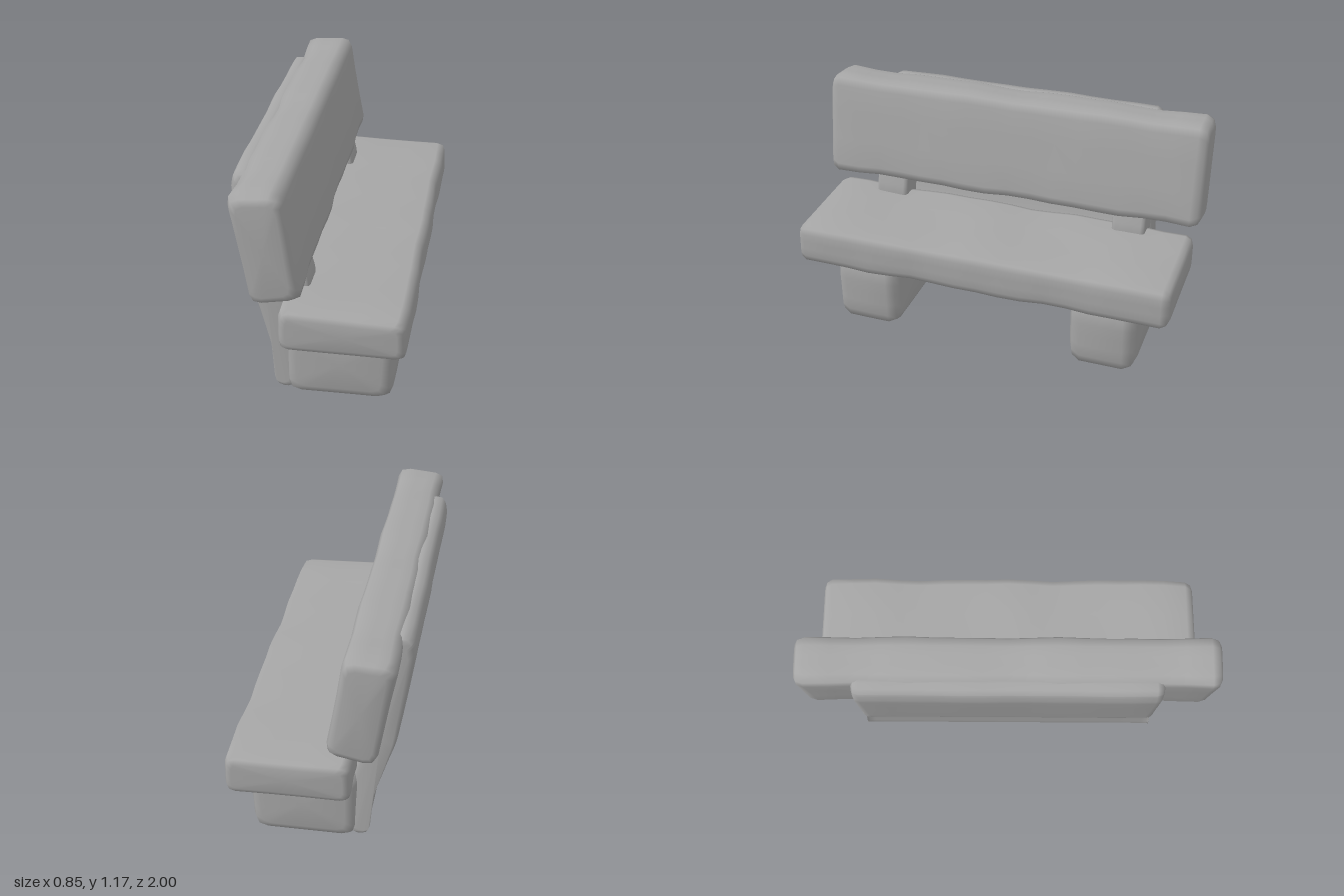
import * as THREE from 'three';

// Rounds the corners of a counter-clockwise profile and subdivides its edges
function roundProfile(points, r) {
  const pts = points.map(([x, y]) => new THREE.Vector2(x, y));
  const n = pts.length, out = [];
  for (let i = 0; i < n; i++) {
    const p = pts[i], a = pts[(i + n - 1) % n], b = pts[(i + 1) % n];
    const step = (q) => p.clone().lerp(q, Math.min(0.4, r / p.distanceTo(q)));
    const s = step(a), e = step(b);
    for (const t of [0, 0.5, 1]) {
      out.push(s.clone().multiplyScalar((1 - t) ** 2)
        .addScaledVector(p, 2 * t * (1 - t)).addScaledVector(e, t * t));
    }
    const next = b.clone().lerp(p, Math.min(0.4, r / p.distanceTo(b)));
    for (const t of [0.33, 0.67]) out.push(e.clone().lerp(next, t));
  }
  return out;
}

// Rough hewn block: a rounded profile swept along z, with softened ends
function hewnBlock(points, z0, z1, r, wobble, seed) {
  const ring = roundProfile(points, r), n = ring.length;
  const box = new THREE.Box2().setFromPoints(ring);
  const c = box.getCenter(new THREE.Vector2()), h = box.getSize(new THREE.Vector2()).multiplyScalar(0.5);
  const levels = [[z0, r * 0.9], [z0 + r * 0.3, r * 0.3], [z0 + r, 0]];
  const mid = Math.max(2, Math.round((z1 - z0 - 2 * r) / 0.12));
  for (let k = 1; k < mid; k++) levels.push([THREE.MathUtils.lerp(z0 + r, z1 - r, k / mid), 0]);
  levels.push([z1 - r, 0], [z1 - r * 0.3, r * 0.3], [z1, r * 0.9]);

  const pos = [], idx = [];
  levels.forEach(([z, inset]) => ring.forEach((p) => {
    const dx = p.x - c.x, dy = p.y - c.y;
    const w = wobble * (Math.sin(z * 9 + seed + dx * 5) * 0.6 + Math.sin(z * 17 + seed * 2.3 + dy * 11) * 0.4);
    pos.push(p.x - (dx / h.x) * (inset + w), p.y - (dy / h.y) * (inset + w), z);
  }));
  for (let k = 0; k < levels.length - 1; k++) {
    for (let i = 0; i < n; i++) {
      const a = k * n + i, b = k * n + (i + 1) % n;
      idx.push(a, b, b + n, a, b + n, a + n);
    }
  }
  // End caps
  const last = (levels.length - 1) * n, centre = pos.length / 3;
  pos.push(c.x, c.y, z0, c.x, c.y, z1);
  for (let i = 0; i < n; i++) {
    const j = (i + 1) % n;
    idx.push(centre, j, i, centre + 1, last + i, last + j);
  }
  const g = new THREE.BufferGeometry();
  g.setAttribute('position', new THREE.Float32BufferAttribute(pos, 3));
  g.setIndex(idx);
  g.computeVertexNormals();
  return g;
}

export function createModel() {
  const group = new THREE.Group();
  const stone = new THREE.MeshStandardMaterial({ color: 0xa6a6a6 });
  stone.name = 'grey stone';
  const add = (name, ...args) => {
    const mesh = new THREE.Mesh(hewnBlock(...args), stone);
    mesh.name = name;
    group.add(mesh);
    return mesh;
  };

  // Leaning slab behind the bench; it narrows slightly towards the top
  const slab = add('backSlab', [
    [-0.215, 0.005], [-0.12, 0.005], [-0.13, 0.36], [-0.2, 0.6], [-0.28, 1.13],
    [-0.4, 1.15], [-0.425, 1.06], [-0.343, 0.55], [-0.225, 0.2],
  ], -0.77, 0.77, 0.04, 0.003, 1);
  const p = slab.geometry.attributes.position;
  for (let i = 0; i < p.count; i++) p.setZ(i, p.getZ(i) * (1 - 0.05 * Math.min(1, p.getY(i) / 0.6)));
  slab.geometry.computeVertexNormals();

  // Thick tilted backrest
  add('backrest', [
    [-0.375, 1.15], [-0.28, 0.615], [-0.05, 0.655], [-0.135, 1.17],
  ], -1, 1, 0.05, 0.006, 2);

  // Seat
  add('seat', [
    [-0.165, 0.37], [0.42, 0.36], [0.42, 0.565], [-0.165, 0.578],
  ], -0.97, 0.97, 0.04, 0.006, 4);

  // Legs and the short posts above the seat, one of each on either side
  for (const side of [1, -1]) {
    const span = (a, b) => (side > 0 ? [a, b] : [-b, -a]);
    add(side > 0 ? 'frontLeg' : 'rearLeg', [
      [-0.17, 0.005], [0.34, 0.005], [0.352, 0.32], [0.31, 0.385], [-0.17, 0.385],
    ], ...span(0.46, 0.8), 0.06, 0.003, 5 + side);
    add('backrestPost', [
      [-0.24, 0.5], [-0.055, 0.5], [-0.06, 0.6], [-0.09, 0.72], [-0.24, 0.72],
    ], ...span(0.56, 0.73), 0.02, 0.002, 8 + side);
  }
  return group;
}
